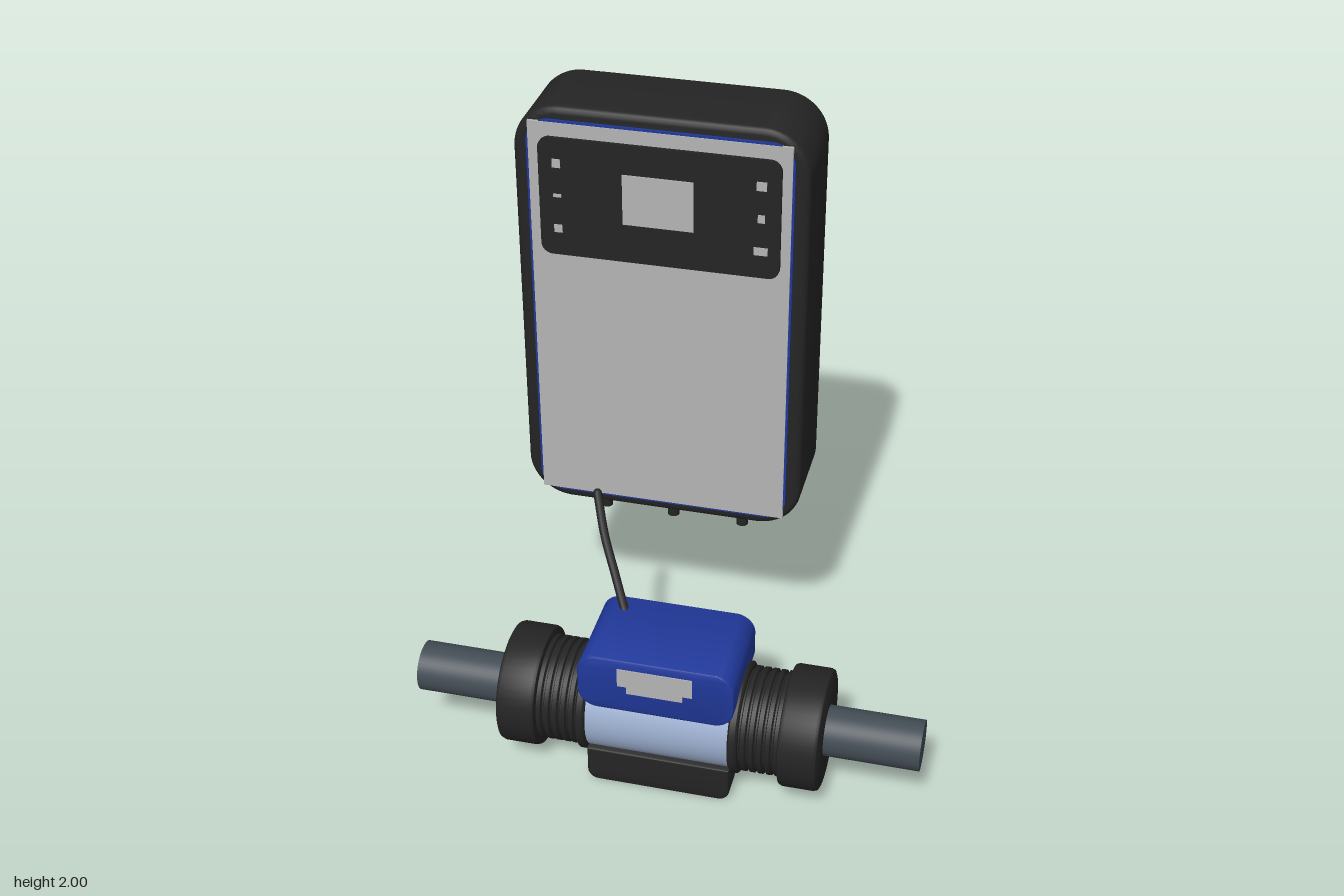
import * as THREE from 'three';
import { toCreasedNormals } from 'three/addons/utils/BufferGeometryUtils.js';

const material = (name, color) => {
  const m = new THREE.MeshStandardMaterial({ color });
  m.name = name;
  return m;
};

// Rectangle outline with separate top and bottom corner radii
function roundedRect(x0, x1, y0, y1, rt, rb) {
  const s = new THREE.Shape();
  s.moveTo(x0 + rb, y0);
  s.lineTo(x1 - rb, y0);
  if (rb) s.absarc(x1 - rb, y0 + rb, rb, -Math.PI / 2, 0);
  s.lineTo(x1, y1 - rt);
  if (rt) s.absarc(x1 - rt, y1 - rt, rt, 0, Math.PI / 2);
  s.lineTo(x0 + rt, y1);
  if (rt) s.absarc(x0 + rt, y1 - rt, rt, Math.PI / 2, Math.PI);
  s.lineTo(x0, y0 + rb);
  if (rb) s.absarc(x0 + rb, y0 + rb, rb, Math.PI, Math.PI * 1.5);
  return s;
}

// Slab of exact outer size, with rounded corners and softened front and back edges
function slab(x0, x1, y0, y1, z0, z1, rt, rb, bevel = 0) {
  const b = bevel;
  const shape = roundedRect(x0 + b, x1 - b, y0 + b, y1 - b, Math.max(rt - b, 0), Math.max(rb - b, 0));
  const g = new THREE.ExtrudeGeometry(shape, {
    depth: z1 - z0 - 2 * b, bevelEnabled: b > 0, bevelSize: b, bevelThickness: b,
    bevelSegments: 4, curveSegments: 12,
  });
  g.translate(0, 0, z0 + b);
  return toCreasedNormals(g, 0.6);
}

// Solid of revolution around the x axis from [radius, x] pairs in rising x
function turned(profile) {
  const g = new THREE.LatheGeometry(profile.map(([r, x]) => new THREE.Vector2(r, x)), 48);
  g.rotateZ(-Math.PI / 2);
  return toCreasedNormals(g, 0.6);
}

export function createModel() {
  const black = material('black plastic', 0x242424);
  const grey = material('light grey', 0xb4b4b4);
  const blue = material('blue plastic', 0x20389a);
  const silver = material('silver blue', 0x9db0d0);
  const slate = material('slate pipe', 0x434c54);

  const model = new THREE.Group();
  const add = (parent, name, geometry, mat) => {
    const mesh = new THREE.Mesh(geometry, mat);
    mesh.name = name;
    parent.add(mesh);
    return mesh;
  };
  const group = (name) => {
    const g = new THREE.Group();
    g.name = name;
    model.add(g);
    return g;
  };

  // Wall unit with blue rim, grey cover and control panel
  const unit = group('controlUnit');
  add(unit, 'housing', slab(-0.575, 0.31, 0.635, 2, -0.47, -0.177, 0.14, 0.14, 0.022), black);
  add(unit, 'coverRim', slab(-0.532, 0.266, 0.67, 1.962, -0.18, -0.17, 0.07, 0.07), blue);
  add(unit, 'frontCover', slab(-0.525, 0.259, 0.677, 1.955, -0.176, -0.167, 0, 0), grey);
  add(unit, 'controlPanel', slab(-0.493, 0.23, 1.535, 1.913, -0.17, -0.156, 0.035, 0.035), black);

  // Screen and key marks: x0, x1, y0, y1
  const marks = [
    [-0.24, -0.027, 1.66, 1.82],
    [-0.45, -0.425, 1.82, 1.847], [-0.45, -0.425, 1.725, 1.735], [-0.45, -0.425, 1.61, 1.635],
    [0.158, 0.188, 1.817, 1.845], [0.163, 0.184, 1.715, 1.74], [0.152, 0.194, 1.61, 1.635],
  ];
  marks.forEach(([x0, x1, y0, y1], i) =>
    add(unit, i ? 'keyMark' : 'screen', slab(x0, x1, y0, y1, -0.158, -0.153, 0, 0), grey));

  // Cable glands under the unit
  for (const x of [-0.36, -0.133, 0.098]) {
    const profile = [[0, 0.525], [0.019, 0.525], [0.019, 0.563], [0.028, 0.57], [0.028, 0.65]];
    const g = new THREE.LatheGeometry(profile.map(([r, y]) => new THREE.Vector2(r, y)), 24);
    add(unit, 'cableGland', toCreasedNormals(g, 0.6), black).position.set(x, 0, -0.32);
  }

  // Pipe cell, built around the pipe axis
  const cell = group('pipeCell');
  const axis = new THREE.Group();
  axis.name = 'pipeAssembly';
  axis.position.set(0, 0.234, 0.283);
  cell.add(axis);
  add(axis, 'pipe', turned([[0, -0.8], [0.079, -0.8], [0.079, 0.8], [0, 0.8]]), slate);
  add(axis, 'cellTube', turned([[0, -0.235], [0.16, -0.235], [0.16, 0.235], [0, 0.235]]), silver);

  // Union nut, ribbed collar and flange, mirrored on both ends
  const ribs = [];
  for (let i = 0; i < 5; i++) {
    const x = 0.255 + i * 0.026;
    ribs.push([0.153, x], [0.153, x + 0.005], [0.164, x + 0.009], [0.164, x + 0.022], [0.153, x + 0.026]);
  }
  const coupling = turned([
    [0, 0.225], [0.168, 0.225], [0.175, 0.231], [0.175, 0.249], [0.168, 0.255],
    ...ribs,
    [0.178, 0.381], [0.186, 0.384], [0.19, 0.394], [0.19, 0.491], [0.186, 0.501], [0.177, 0.505], [0, 0.505],
  ]);
  for (const side of [0, Math.PI]) add(axis, 'coupling', coupling, black).rotation.y = side;

  // Lower block and blue head
  add(cell, 'baseBlock', slab(-0.227, 0.227, 0, 0.125, 0.144, 0.421, 0, 0.035, 0.008), black);
  add(cell, 'cellHead', slab(-0.245, 0.242, 0.315, 0.511, 0.126, 0.439, 0.062, 0.062, 0.008), blue);

  // Stepped label on the head
  const label = new THREE.Shape([
    [-0.118, 0.48], [-0.118, 0.415], [-0.09, 0.415], [-0.09, 0.39],
    [0.085, 0.39], [0.085, 0.412], [0.115, 0.412], [0.115, 0.48],
  ].map(([x, y]) => new THREE.Vector2(x, y)));
  const labelGeometry = new THREE.ExtrudeGeometry(label, { depth: 0.006, bevelEnabled: false });
  add(cell, 'headLabel', labelGeometry, grey).position.z = 0.436;

  // Loose cable rising from the head, with closed ends
  const points = [[-0.16, 0.5, 0.19], [-0.205, 0.585, 0.13], [-0.258, 0.685, 0.06], [-0.298, 0.79, -0.01]]
    .map((p) => new THREE.Vector3(...p));
  const path = new THREE.CatmullRomCurve3(points);
  add(cell, 'cable', new THREE.TubeGeometry(path, 24, 0.014, 12), black);
  for (const p of [points[0], points[3]])
    add(cell, 'cableEnd', new THREE.SphereGeometry(0.014, 12, 8), black).position.copy(p);

  return model;
}
